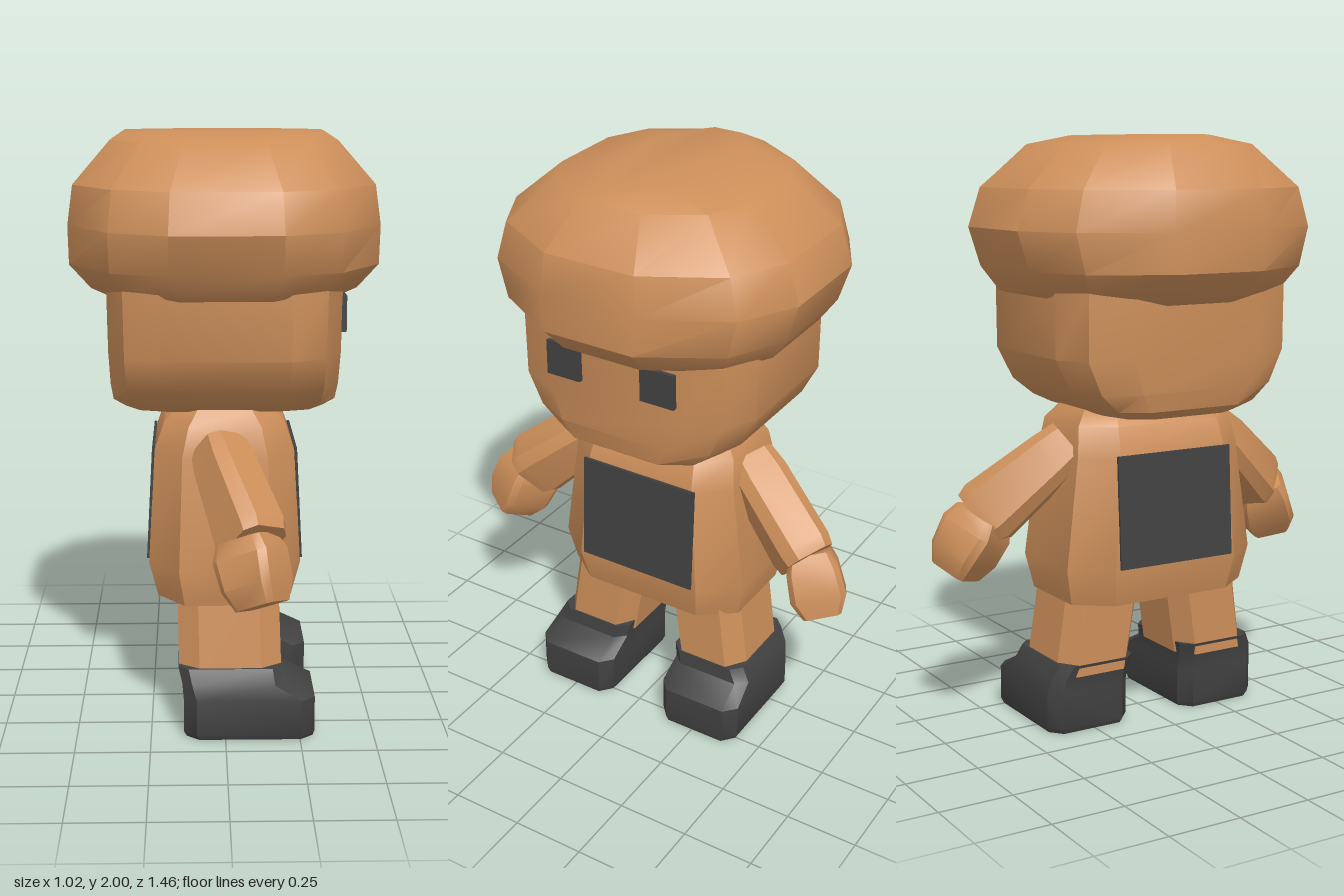
import * as THREE from 'three';
import { toCreasedNormals } from 'three/addons/utils/BufferGeometryUtils.js';

const tan = new THREE.MeshStandardMaterial({ color: 0xcd8f5a });
tan.name = 'tan';
const charcoal = new THREE.MeshStandardMaterial({ color: 0x424242 });
charcoal.name = 'charcoal';

// Quarter outlines (x, z), mirrored into a full ring
const ROUND = [[1, 0.32], [0.72, 0.81], [0.35, 1]];
const SOFT_BOX = [[1, 0.55], [0.85, 0.87], [0.55, 1]];
const OCTAGON = [[1, 0.65], [0.6, 1]];
const BEVEL = [[1, 0.75], [0.8, 1]];

function ring(quarter) {
  const back = [...quarter].reverse();
  return [
    ...quarter,
    ...back.map(([x, z]) => [-x, z]),
    ...quarter.map(([x, z]) => [-x, -z]),
    ...back.map(([x, z]) => [x, -z]),
  ];
}

// Skin through sections [y, x0, x1, z0, z1], capped at both ends
function loft(quarter, sections, crease = 0.6) {
  const outline = ring(quarter);
  const n = outline.length;
  const pos = [];
  const index = [];
  for (const [y, x0, x1, z0, z1] of sections) {
    for (const [u, v] of outline) {
      pos.push((x0 + x1) / 2 + u * (x1 - x0) / 2, y, (z0 + z1) / 2 + v * (z1 - z0) / 2);
    }
  }
  for (let s = 0; s < sections.length - 1; s++) {
    for (let i = 0; i < n; i++) {
      const a = s * n + i, b = s * n + (i + 1) % n;
      index.push(a, a + n, b, b, a + n, b + n);
    }
  }
  const top = (sections.length - 1) * n;
  for (let i = 1; i < n - 1; i++) {
    index.push(0, i, i + 1);
    index.push(top, top + i + 1, top + i);
  }
  const geo = new THREE.BufferGeometry();
  geo.setAttribute('position', new THREE.Float32BufferAttribute(pos, 3));
  geo.setIndex(index);
  return toCreasedNormals(geo, crease);
}

// Section centred on the vertical axis
const mid = (y, x, z) => [y, -x, x, -z, z];

function part(name, geometry, material) {
  const mesh = new THREE.Mesh(geometry, material);
  mesh.name = name;
  return mesh;
}

// Tapered limb between two points; each section is [fraction, half x, half across]
function limb(name, from, to, quarter, sections) {
  const a = new THREE.Vector3(...from);
  const dir = new THREE.Vector3(...to).sub(a);
  const len = dir.length();
  const mesh = part(name, loft(quarter, sections.map(([t, x, z]) => mid(t * len, x, z))), tan);
  mesh.position.copy(a);
  mesh.quaternion.setFromUnitVectors(new THREE.Vector3(0, 1, 0), dir.normalize());
  return mesh;
}

// Arm, leg, shoe and eye of one side
function buildSide() {
  const side = new THREE.Group();
  side.add(limb('sleeve', [-0.02, 0.98, 0.28], [0.085, 0.73, 0.57], OCTAGON,
    [[0, 0.08, 0.08], [0.2, 0.09, 0.09], [0.9, 0.092, 0.112], [1, 0.085, 0.1]]));
  side.add(limb('hand', [0.06, 0.75, 0.565], [0.11, 0.555, 0.65], BEVEL,
    [[0, 0.07, 0.08], [0.25, 0.088, 0.1], [0.7, 0.095, 0.09], [1, 0.065, 0.07]]));
  side.add(part('leg', loft(OCTAGON, [
    [0.2, -0.155, 0.19, 0.1, 0.375],
    [0.52, -0.16, 0.18, 0.05, 0.33],
  ]), tan));
  side.add(part('shoe', loft(BEVEL, [
    [0, -0.13, 0.295, 0.115, 0.405],
    [0.02, -0.14, 0.3, 0.107, 0.415],
    [0.14, -0.14, 0.3, 0.107, 0.415],
    [0.19, -0.145, 0.2, 0.107, 0.405],
    [0.24, -0.158, 0.193, 0.098, 0.378],
  ]), charcoal));
  const eye = part('eye', new THREE.BoxGeometry(0.05, 0.12, 0.125), charcoal);
  eye.position.set(0.375, 1.415, 0.177);
  side.add(eye);
  return side;
}

export function createModel() {
  const model = new THREE.Group();
  model.name = 'figure';

  model.add(part('hair', loft(ROUND, [
    mid(1.46, 0.38, 0.38),
    mid(1.49, 0.44, 0.45),
    mid(1.57, 0.51, 0.505),
    mid(1.7, 0.512, 0.547),
    mid(1.83, 0.495, 0.505),
    mid(1.97, 0.375, 0.345),
    mid(2, 0.33, 0.16),
  ]), tan));

  model.add(part('head', loft(SOFT_BOX, [
    mid(1.09, 0.33, 0.24),
    mid(1.12, 0.37, 0.3),
    mid(1.18, 0.377, 0.375),
    mid(1.29, 0.382, 0.432),
    mid(1.52, 0.386, 0.432),
  ]), tan));

  model.add(part('torso', loft(OCTAGON, [
    mid(0.45, 0.225, 0.34),
    mid(0.57, 0.255, 0.365),
    mid(0.95, 0.235, 0.315),
    mid(1.05, 0.2, 0.3),
    mid(1.1, 0.15, 0.26),
    mid(1.13, 0.06, 0.15),
  ]), tan));

  // Chest and back panels
  for (const s of [1, -1]) {
    const panel = part(s > 0 ? 'chestPanel' : 'backPanel',
      new THREE.BoxGeometry(0.009, 0.38, 0.44), charcoal);
    panel.position.set(s * 0.248, 0.77, 0);
    panel.rotation.z = s * 0.053;
    model.add(panel);
  }

  // Mirrored sides
  for (const s of [1, -1]) {
    const side = buildSide();
    side.name = s > 0 ? 'sideA' : 'sideB';
    side.scale.z = s;
    model.add(side);
  }
  return model;
}
